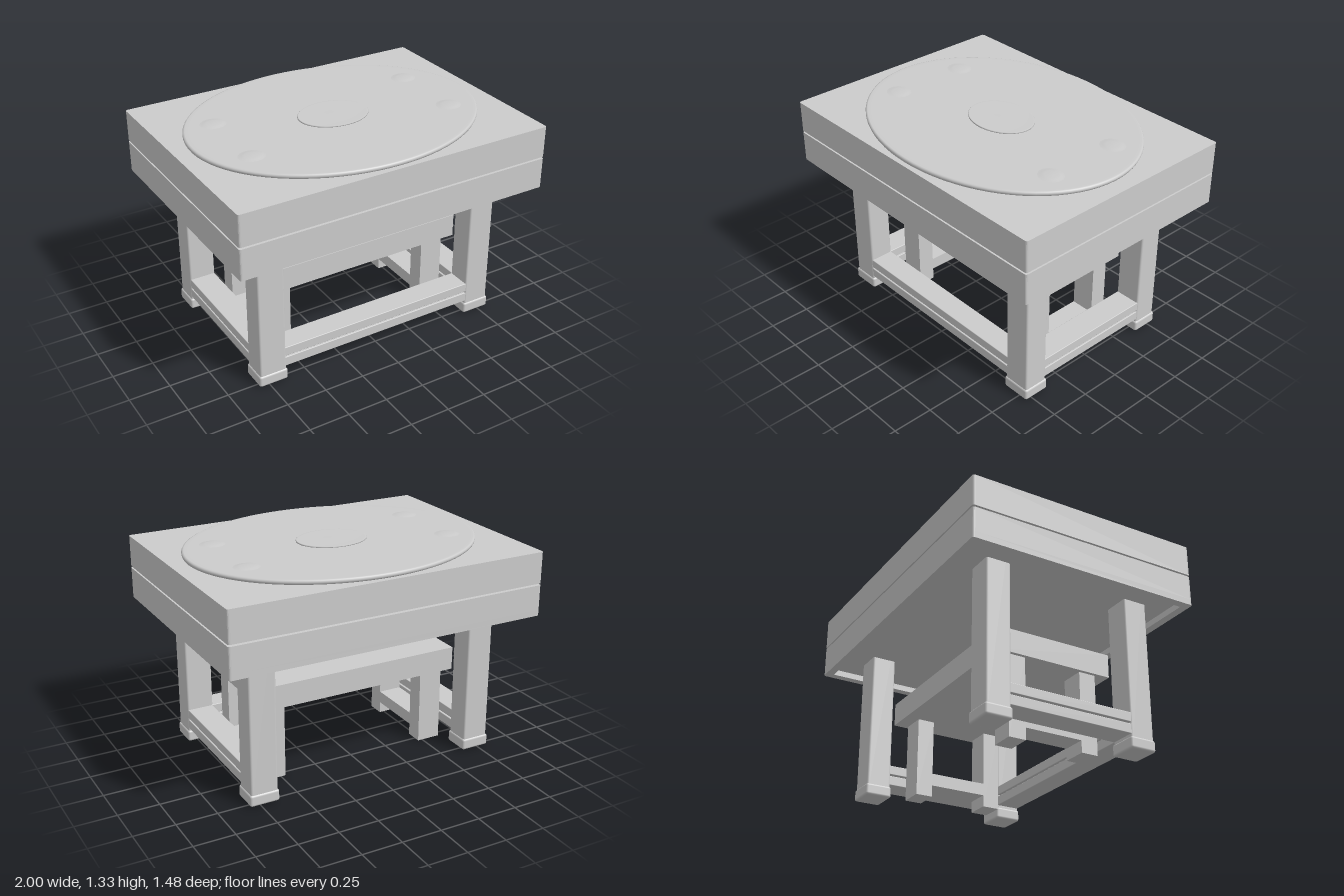
import * as THREE from 'three';
import { RoundedBoxGeometry } from 'three/addons/geometries/RoundedBoxGeometry.js';

const material = new THREE.MeshStandardMaterial({ color: 0xcccccc });

function add(parent, name, geometry, x = 0, y = 0, z = 0) {
  const mesh = new THREE.Mesh(geometry, material);
  mesh.name = name;
  mesh.position.set(x, y, z);
  parent.add(mesh);
  return mesh;
}

// Box between y0 and y1, centred on x and z; r rounds its edges
function block(parent, name, w, d, y0, y1, x = 0, z = 0, r = 0) {
  const h = y1 - y0;
  const geometry = r ? new RoundedBoxGeometry(w, h, d, 3, r) : new THREE.BoxGeometry(w, h, d);
  return add(parent, name, geometry, x, (y0 + y1) / 2, z);
}

// Lathed disc of unit radius stretched to an oval
function oval(parent, name, profile, rx, rz, x, y, z, sides) {
  const points = profile.map(([r, h]) => new THREE.Vector2(r, h));
  const mesh = add(parent, name, new THREE.LatheGeometry(points, sides), x, y, z);
  mesh.scale.set(rx, 1, rz);
  return mesh;
}

function roundedRect(path, w, d, r) {
  const x = w / 2, y = d / 2;
  path.moveTo(-x + r, -y);
  path.lineTo(x - r, -y);
  path.quadraticCurveTo(x, -y, x, -y + r);
  path.lineTo(x, y - r);
  path.quadraticCurveTo(x, y, x - r, y);
  path.lineTo(-x + r, y);
  path.quadraticCurveTo(-x, y, -x, y - r);
  path.lineTo(-x, -y + r);
  path.quadraticCurveTo(-x, -y, -x + r, -y);
  return path;
}

// Upright slab with rounded corners, optionally hollowed to a frame
function slab(parent, name, y0, y1, rim = 0) {
  const shape = roundedRect(new THREE.Shape(), 2, 1.475, 0.015);
  if (rim) shape.holes.push(roundedRect(new THREE.Path(), 2 - 2 * rim, 1.475 - 2 * rim, 0.005));
  const geometry = new THREE.ExtrudeGeometry(shape, { depth: y1 - y0, bevelEnabled: false, curveSegments: 4 });
  geometry.rotateX(-Math.PI / 2);
  add(parent, name, geometry, 0, y0, 0);
}

export function createModel() {
  const model = new THREE.Group();
  model.name = 'tableWithStool';

  // Table top: two stacked slabs, the lower one recessed underneath
  const top = new THREE.Group();
  top.name = 'tableTop';
  model.add(top);
  slab(top, 'upperSlab', 1.103, 1.296);
  slab(top, 'lowerSlab', 0.94, 1.092);
  slab(top, 'lowerRim', 0.902, 0.94, 0.05);

  // Oval plate with a rounded edge, a raised centre and four shallow bumps
  const plate = [[0, 0], [0.985, 0], [0.996, 0.004], [1, 0.012], [1, 0.019], [0.995, 0.026], [0.985, 0.029], [0.96, 0.028], [0, 0.028]];
  oval(top, 'ovalPlate', plate, 0.907, 0.714, 0, 1.296, 0, 80);
  const medallion = [[0, 0], [1, 0], [1, 0.006], [0.985, 0.009], [0.96, 0.007], [0, 0.008]];
  oval(top, 'centreOval', medallion, 0.22, 0.173, 0, 1.323, 0, 48);
  const bump = [[1, 0], [0.8, 0.001], [0.6, 0.004], [0.4, 0.007], [0, 0.0075]];
  for (const x of [-0.66, 0.66]) {
    for (const z of [-0.24, 0.24]) oval(top, 'plateBump', bump.slice().reverse().map(([r, h]) => [r, h]).reverse(), 0.1, 0.09, x, 1.323, z, 14);
  }

  // Table legs and feet
  for (const x of [-0.725, 0.725]) {
    for (const z of [-0.465, 0.465]) {
      block(model, 'tableLeg', 0.168, 0.153, 0.05, 1.11, x, z, 0.012);
      block(model, 'tableFoot', 0.183, 0.167, 0.006, 0.078, x, z, 0.014);
    }
  }

  // Paired stretchers on the front and both sides; the back stays open
  for (const [y0, y1] of [[0.093, 0.153], [0.163, 0.221]]) {
    block(model, 'frontStretcher', 1.32, 0.148, y0, y1, 0, 0.465, 0.004);
    for (const x of [-0.725, 0.725]) block(model, 'sideStretcher', 0.162, 0.81, y0, y1, x, 0, 0.004);
  }

  // Stool tucked under the table
  const stool = new THREE.Group();
  stool.name = 'stool';
  model.add(stool);
  block(stool, 'stoolSeat', 1.285, 0.75, 0.494, 0.637);
  for (const x of [-0.545, 0.545]) {
    for (const z of [-0.236, 0.236]) block(stool, 'stoolLeg', 0.15, 0.107, 0, 0.494, x, z);
    block(stool, 'stoolStretcher', 0.15, 0.366, 0.073, 0.15, x, 0);
  }
  return model;
}
